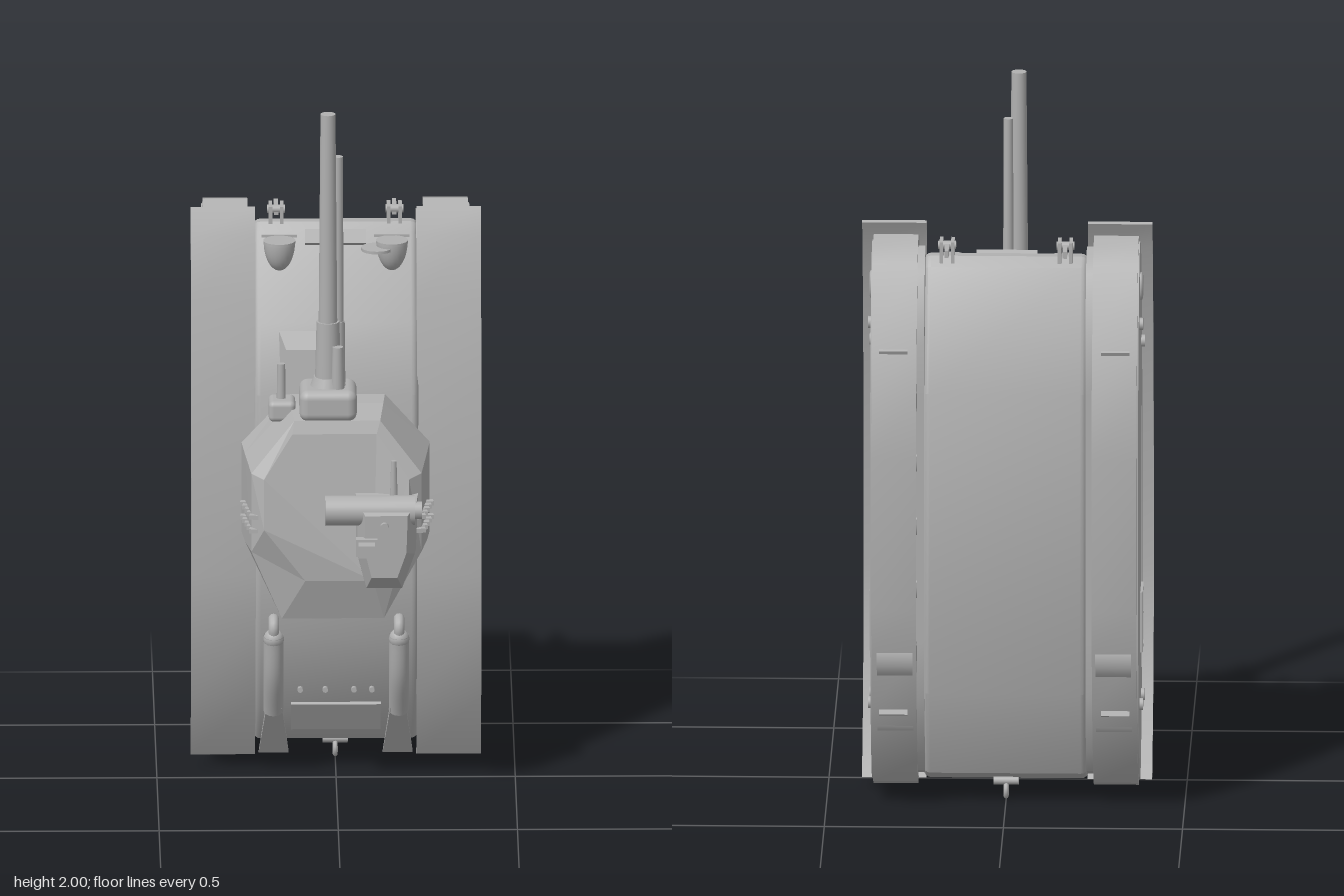
import * as THREE from 'three';
import { toCreasedNormals } from 'three/addons/utils/BufferGeometryUtils.js';
import { RoundedBoxGeometry } from 'three/addons/geometries/RoundedBoxGeometry.js';

const grey = new THREE.MeshStandardMaterial({ color: 0xb0b0b0, side: THREE.DoubleSide });
grey.name = 'plain grey';

export function createModel() {
  const model = new THREE.Group();
  model.name = 'standing tank';

  const add = (name, geo, x = 0, y = 0, z = 0, rx = 0, ry = 0, rz = 0) => {
    const m = new THREE.Mesh(geo, grey);
    m.name = name;
    m.position.set(x, y, z);
    m.rotation.set(rx, ry, rz);
    model.add(m);
    return m;
  };
  const box = (w, h, d) => new THREE.BoxGeometry(w, h, d);
  const cyl = (r1, r2, h, n = 24) => new THREE.CylinderGeometry(r1, r2, h, n);
  const v2 = ([z, y]) => new THREE.Vector2(-z, y);

  // Side profile of [z, y] points, extruded across x
  const prism = (pts, xa, xb, holes = [], bevel = 0) => {
    const x0 = Math.min(xa, xb), w = Math.abs(xb - xa);
    const shape = new THREE.Shape(pts.map(v2));
    holes.forEach(h => shape.holes.push(new THREE.Path(h.map(v2))));
    const g = new THREE.ExtrudeGeometry(shape, {
      depth: w - 2 * bevel, bevelEnabled: bevel > 0, bevelSize: bevel,
      bevelThickness: bevel, bevelOffset: -bevel, bevelSegments: 4, curveSegments: 8,
    });
    g.rotateY(Math.PI / 2).translate(x0 + bevel, 0, 0);
    return toCreasedNormals(g, 0.5);
  };

  // Flat-faced loft through equal loops of [x, y, z], capped at both ends
  const loft = loops => {
    const p = [], n = loops[0].length;
    const tri = (a, b, c) => p.push(...a, ...b, ...c);
    for (let k = 0; k + 1 < loops.length; k++) {
      for (let i = 0; i < n; i++) {
        const j = (i + 1) % n, a = loops[k], b = loops[k + 1];
        tri(a[i], a[j], b[j]);
        tri(a[i], b[j], b[i]);
      }
    }
    const lo = loops[0], hi = loops[loops.length - 1];
    for (let i = 1; i + 1 < n; i++) {
      tri(hi[0], hi[i], hi[i + 1]);
      tri(lo[0], lo[i + 1], lo[i]);
    }
    const g = new THREE.BufferGeometry();
    g.setAttribute('position', new THREE.Float32BufferAttribute(p, 3));
    g.computeVertexNormals();
    return g;
  };

  // Hull
  add('hull', prism([
    [-0.36, 0.35], [-0.36, 1.22], [-0.225, 1.55], [-0.195, 1.575], [-0.165, 1.575], [-0.14, 1.55],
    [0, 1.33], [0.07, 1.14], [0.075, 0.6], [0.05, 0.42], [-0.03, 0.2], [-0.12, 0.08],
    [-0.19, 0.06], [-0.25, 0.09],
  ], -0.23, 0.23, [], 0.02));
  add('nosePlate', box(0.17, 0.04, 0.03), 0, 1.545, -0.115, -0.5);
  add('driverHood', loft([
    [[-0.19, 1.12, 0], [0.04, 1.12, 0], [0.02, 1.33, -0.02], [-0.17, 1.33, -0.02]],
    [[-0.15, 1.12, 0.085], [0, 1.12, 0.085], [-0.03, 1.27, 0.06], [-0.14, 1.27, 0.06]],
  ]));
  add('rearGrille', box(0.25, 0.1, 0.01), 0, 0.17, -0.042, 0.51);
  for (const x of [-0.1, -0.03, 0.05, 0.1]) add('rearBolt', cyl(0.008, 0.008, 0.02, 8), x, 0.26, 0, Math.PI / 2);
  add('towHook', new THREE.TorusGeometry(0.018, 0.007, 8, 16), 0, 0.028, -0.2, 0, Math.PI / 2);
  add('towBar', cyl(0.012, 0.012, 0.07, 10), 0, 0.055, -0.2, 0, 0, Math.PI / 2);

  // Running gear
  const track = [
    [-0.19, 1.635], [-0.12, 1.615], [-0.07, 1.55], [-0.015, 1.39], [0.03, 1.18], [0.065, 0.85], [0.075, 0.62],
    [0.05, 0.47], [-0.02, 0.24], [-0.11, 0.09], [-0.15, 0.055], [-0.2, 0.045], [-0.25, 0.065], [-0.31, 0.14],
    [-0.405, 0.32], [-0.445, 0.49], [-0.467, 0.62], [-0.467, 1.06], [-0.445, 1.23], [-0.39, 1.39],
    [-0.3, 1.58], [-0.25, 1.62],
  ];
  const shrink = (sz, sy, back = -1) =>
    track.map(([z, y]) => [Math.max(back, -0.195 + (z + 0.195) * sz), 0.84 + (y - 0.84) * sy]);
  const recess = [[0, 1.1], [-0.07, 1.1], [-0.07, 0.34], [-0.04, 0.34], [0, 0.42]];
  const fenderOuter = [
    [-0.082, 1.645], [-0.045, 1.57], [0, 1.4], [0.045, 1.18], [0.072, 0.9], [0.083, 0.62],
    [0.07, 0.48], [0.01, 0.24], [-0.1, 0.04],
  ];
  const fender = [...fenderOuter, ...fenderOuter.map(([z, y]) => [z - 0.012, y - 0.004]).reverse()];

  for (const s of [-1, 1]) {
    add('track', prism(track, s * 0.245, s * 0.37, [shrink(0.93, 0.976)]));
    add('sponsonBody', prism(shrink(0.9, 0.96, -0.36), s * 0.225, s * 0.335));
    add('sidePlate', prism(shrink(0.94, 0.98, -0.412), s * 0.335, s * 0.374, [recess]));
    add('fender', prism(fender, s * 0.225, s * 0.405));
    for (let i = 0; i < 7; i++) {
      const y = 0.29 + i * 0.183, end = i === 0 || i === 6;
      add('roadWheel', cyl(0.08, 0.08, 0.1), s * 0.305, y, end ? -0.3 : -0.368, 0, 0, Math.PI / 2);
      add('wheelHub', cyl(0.025, 0.025, 0.12, 12), s * 0.305, y, end ? -0.3 : -0.368, 0, 0, Math.PI / 2);
    }
    for (const y of [0.33, 1.33]) add('suspensionBracket', box(0.08, 0.08, 0.05), s * 0.31, y, -0.37, y < 1 ? 0.4 : -0.4);
    // Side fittings
    for (const y of [0.55, 0.77, 0.99]) {
      for (const t of [-1, 1]) add('recessStrut', box(0.025, 0.012, 0.07), s * 0.35, y + t * 0.015, -0.035, t * 0.45);
    }
    const door = (z0, z1, y0, y1) => [[z0, y0], [z0, y1], [z1, y1], [z1, y0]];
    add('sideDoorFrame', prism(door(-0.095, -0.205, 0.43, 0.605), s * 0.374, s * 0.381,
      [door(-0.105, -0.195, 0.44, 0.595)]));
    add('sideDoorBar', box(0.006, 0.007, 0.09), s * 0.377, 0.52, -0.15);
    const port = add('sidePort', new THREE.TorusGeometry(0.021, 0.006, 8, 24), s * 0.376, 1.49, -0.19, 0, Math.PI / 2);
    port.scale.y = 1.5;
    for (const [y, z] of [[1.4, -0.26], [0.3, -0.27], [0.28, -0.1], [1.3, -0.08]]) {
      add('sideCap', cyl(0.017, 0.017, 0.012, 16), s * 0.378, y, z, 0, 0, Math.PI / 2);
    }

    // Lamps and tow shackles on the nose
    add('headlamp', new THREE.SphereGeometry(0.044, 20, 10, 0, Math.PI * 2, Math.PI / 2, Math.PI / 2).scale(1, 1.9, 1),
      s * 0.157, 1.54, -0.09);
    add('headlampLens', cyl(0.045, 0.045, 0.008), s * 0.157, 1.54, -0.09);
    add('lampBracket', box(0.1, 0.012, 0.01), s * 0.157, 1.54, -0.138);
    for (const t of [-1, 1]) add('shackleLug', box(0.01, 0.06, 0.06), s * 0.165 + t * 0.016, 1.59, -0.19);
    add('shacklePin', cyl(0.012, 0.012, 0.05, 12), s * 0.165, 1.605, -0.19, 0, 0, Math.PI / 2);
    add('shackleHook', box(0.012, 0.02, 0.09), s * 0.165, 1.6, -0.225);

    // Exhaust with elbow and fishtail
    const pipe = new THREE.CatmullRomCurve3([[0.44, 0.075], [0.32, 0.052], [0.2, 0]]
      .map(([y, z]) => new THREE.Vector3(s * 0.175, y, z)));
    add('exhaustPipe', new THREE.TubeGeometry(pipe, 12, 0.028, 16));
    const elbow = new THREE.CatmullRomCurve3([[0.42, 0.075], [0.465, 0.085], [0.485, 0.065], [0.48, 0.03]]
      .map(([y, z]) => new THREE.Vector3(s * 0.175, y, z)));
    add('exhaustElbow', new THREE.TubeGeometry(elbow, 12, 0.015, 12));
    add('exhaustCap', new THREE.SphereGeometry(0.029, 16, 10), s * 0.175, 0.43, 0.074);
    const q = (w, d, y, z) => [[-w, y, z - d], [w, y, z - d], [w, y, z + d], [-w, y, z + d]]
      .map(([x, b, c]) => [s * 0.173 + x, b, c]);
    add('exhaustFishtail', loft([q(0.042, 0.008, 0.05, -0.09), q(0.022, 0.022, 0.21, 0)]));
  }
  add('lampCover', cyl(0.044, 0.044, 0.008), 0.115, 1.525, -0.07);

  // Turret
  add('turretRing', cyl(0.215, 0.215, 0.06, 40), 0, 0.87, 0.075, Math.PI / 2);
  add('turret', loft([
    [[0.13, 0.59, 0.09], [0.26, 0.75, 0.09], [0.26, 1.01, 0.09], [0.135, 1.15, 0.09],
      [-0.135, 1.15, 0.09], [-0.265, 1.01, 0.09], [-0.265, 0.75, 0.09], [-0.15, 0.59, 0.09]],
    [[0.14, 0.545, 0.16], [0.252, 0.745, 0.16], [0.252, 1, 0.16], [0.13, 1.145, 0.16],
      [-0.13, 1.145, 0.16], [-0.257, 1, 0.16], [-0.257, 0.745, 0.16], [-0.165, 0.545, 0.16]],
    [[0.13, 0.56, 0.3], [0.235, 0.755, 0.3], [0.235, 0.98, 0.29], [0.12, 1.125, 0.262],
      [-0.12, 1.125, 0.262], [-0.24, 0.98, 0.29], [-0.24, 0.755, 0.3], [-0.155, 0.56, 0.3]],
    [[0.1, 0.68, 0.335], [0.2, 0.83, 0.34], [0.2, 0.97, 0.318], [0.11, 1.09, 0.275],
      [-0.125, 1.09, 0.275], [-0.205, 0.97, 0.318], [-0.205, 0.83, 0.34], [-0.09, 0.68, 0.335]],
  ]));
  for (const s of [-1, 1]) {
    for (const y of [0.82, 0.86]) {
      for (let i = 0; i < 5; i++) {
        const z = 0.18 + i * 0.032;
        add('turretCleat', box(0.035, 0.012, 0.02), s * (0.252 - i * 0.006), y, z, 0, s * 0.15);
      }
    }
  }

  // Guns
  add('mantlet', new RoundedBoxGeometry(0.16, 0.09, 0.155, 4, 0.025), -0.025, 1.165, 0.193);
  add('mantletCollar', cyl(0.04, 0.055, 0.04), -0.025, 1.215, 0.193);
  add('gunSleeve', cyl(0.032, 0.037, 0.2), -0.025, 1.295, 0.193);
  add('mainBarrel', cyl(0.021, 0.026, 0.61), -0.025, 1.695, 0.193);
  add('upperBarrel', cyl(0.013, 0.015, 0.5, 16), 0.004, 1.62, 0.174);
  add('upperSleeve', cyl(0.018, 0.02, 0.2, 16), 0.004, 1.29, 0.174);
  add('sightTube', cyl(0.015, 0.019, 0.15, 16), 0.002, 1.255, 0.226);
  add('gunPort', new RoundedBoxGeometry(0.075, 0.06, 0.09, 3, 0.015), -0.153, 1.13, 0.155);
  add('machineGun', cyl(0.011, 0.013, 0.12, 12), -0.155, 1.2, 0.155);

  // Cupola
  const ring = (z, k) => [[-0.05, -0.16], [0.05, -0.16], [0.085, -0.06], [0.09, 0.09], [-0.075, 0.09], [-0.075, -0.06]]
    .map(([x, y]) => [0.13 + x * k, 0.83 + y * k, z]);
  add('cupola', loft([ring(0.3, 1.06), ring(0.37, 1), ring(0.42, 0.72)]));
  add('cupolaDrum', cyl(0.042, 0.042, 0.25), 0.09, 0.895, 0.365, 0, 0, Math.PI / 2);
  add('cupolaDrumCap', cyl(0.025, 0.025, 0.02, 16), 0.225, 0.895, 0.365, 0, 0, Math.PI / 2);
  add('cupolaGunMount', box(0.06, 0.05, 0.03), 0.08, 0.805, 0.42);
  add('cupolaGun', box(0.046, 0.035, 0.06), 0.08, 0.805, 0.44);
  add('cupolaSight', cyl(0.012, 0.012, 0.02, 12), 0.13, 0.865, 0.424, Math.PI / 2);
  add('periscope', cyl(0.008, 0.011, 0.1, 10), 0.157, 0.98, 0.335);
  return model;
}
